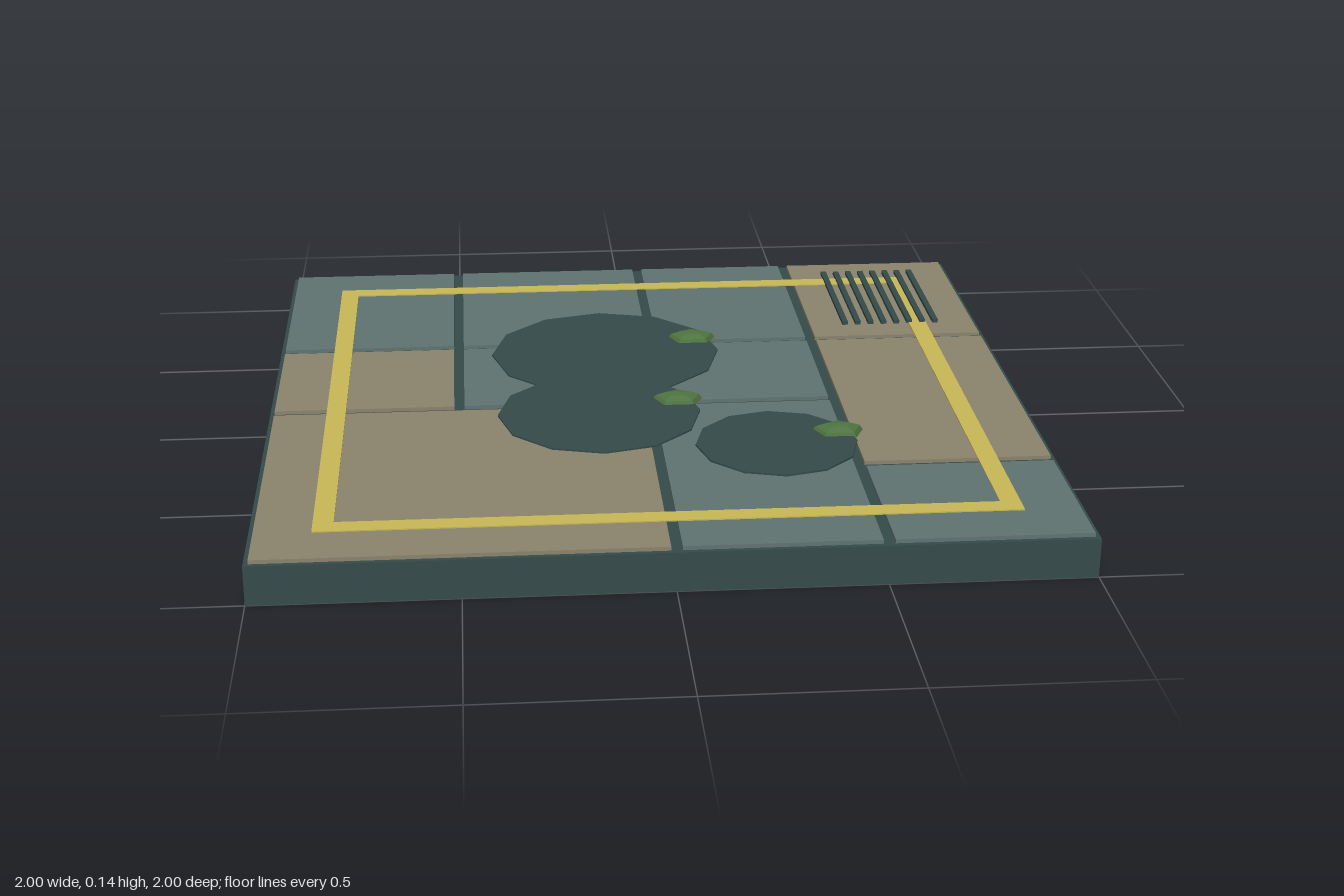
import * as THREE from 'three';

const paint = (name, color) => {
  const m = new THREE.MeshStandardMaterial({ color });
  m.name = name;
  return m;
};

export function createModel() {
  const dark = paint('dark slate', 0x354b4b);
  const grey = paint('grey stone', 0x607472);
  const tan = paint('tan stone', 0x8c846c);
  const yellow = paint('yellow paint', 0xc9b957);
  const green = paint('moss green', 0x4f7340);
  green.flatShading = true;

  const root = new THREE.Group();
  root.name = 'pavedFloor';
  const add = (name, geometry, material) => {
    const mesh = new THREE.Mesh(geometry, material);
    mesh.name = name;
    root.add(mesh);
    return mesh;
  };
  // box given by its extents
  const block = (name, mat, x0, x1, y0, y1, z0, z1) =>
    add(name, new THREE.BoxGeometry(x1 - x0, y1 - y0, z1 - z0), mat)
      .position.set((x0 + x1) / 2, (y0 + y1) / 2, (z0 + z1) / 2);

  // base slab, also seen in the joints
  block('baseSlab', dark, -1, 1, 0, 0.1, -1, 1);

  // paving stones: x0, x1, z0, z1
  const stones = [
    [grey, -0.988, -0.515, -0.988, -0.362],
    [grey, -0.488, 0.033, -0.988, -0.362],
    [grey, 0.06, 0.485, -0.988, -0.362],
    [tan, 0.513, 0.988, -0.988, -0.362],
    [tan, -0.988, -0.515, -0.334, 0.09],
    [grey, -0.488, 0.485, -0.334, 0.09],
    [tan, 0.513, 0.988, -0.334, 0.53],
    [tan, -0.988, -0.013, 0.118, 0.988],
    [grey, 0.014, 0.485, 0.118, 0.988],
    [grey, 0.513, 0.988, 0.558, 0.988],
  ];
  for (const [mat, x0, x1, z0, z1] of stones) block('pavingStone', mat, x0, x1, 0.1, 0.11, z0, z1);

  // painted border as one frame
  const frame = new THREE.Shape();
  const square = (path, h) => path.moveTo(-h, -h).lineTo(h, -h).lineTo(h, h).lineTo(-h, h).closePath();
  square(frame, 0.85);
  const hole = new THREE.Path();
  square(hole, 0.8);
  frame.holes.push(hole);
  const border = new THREE.ExtrudeGeometry(frame, { depth: 0.003, bevelEnabled: false });
  border.rotateX(-Math.PI / 2);
  add('paintedBorder', border, yellow).position.y = 0.11;

  // drain grate bars
  for (let i = 0; i < 8; i++) {
    const x = 0.614 + i * 0.0376;
    block('grateBar', dark, x - 0.008, x + 0.008, 0.11, 0.12, -0.895, -0.452);
  }

  // twelve-sided puddles: x, z, radius
  [[-0.092, -0.275, 0.317], [-0.134, 0.168, 0.267], [0.307, 0.402, 0.208]].forEach(([x, z, r], i) => {
    const h = 0.004 + i * 0.0004;
    add('puddle', new THREE.CylinderGeometry(r, r, h, 12), dark).position.set(x, 0.11 + h / 2, z);
  });

  // low five-sided moss clumps
  const clump = new THREE.SphereGeometry(1, 5, 3, 0, Math.PI * 2, 0, Math.PI / 2);
  clump.rotateY(-Math.PI / 2);
  clump.scale(0.07, 0.026, 0.05);
  for (const [x, z] of [[0.16, -0.367], [0.08, 0.093], [0.475, 0.339]])
    add('mossClump', clump, green).position.set(x, 0.11, z);

  return root;
}
